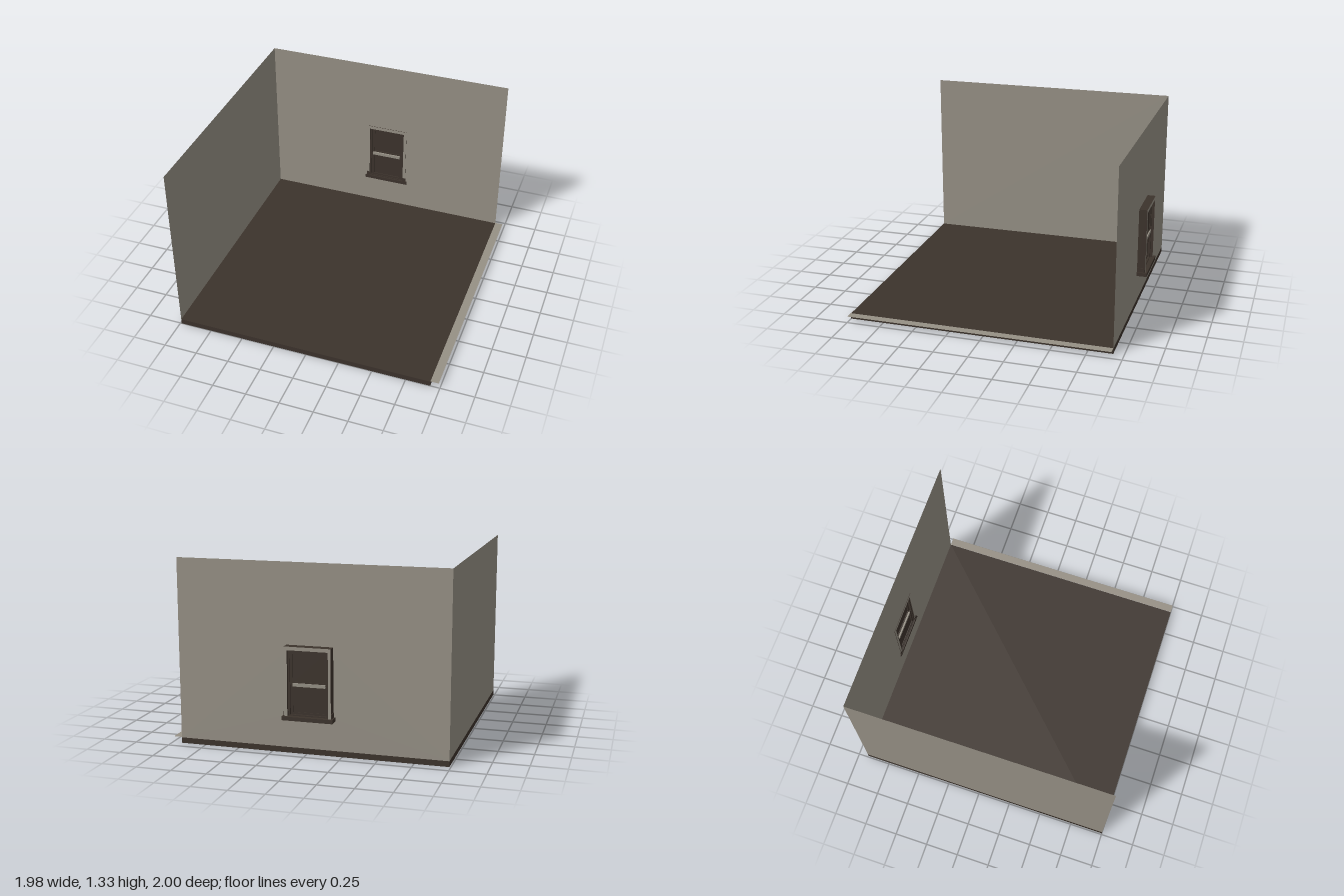
import * as THREE from 'three';

const wallMat = new THREE.MeshStandardMaterial({ color: 0x969085, side: THREE.DoubleSide });
wallMat.name = 'warm beige';
const woodMat = new THREE.MeshStandardMaterial({ color: 0x3c332c, side: THREE.DoubleSide });
woodMat.name = 'dark brown';

// Box given by its minimum and maximum corners
function box(name, mat, [x0, y0, z0], [x1, y1, z1]) {
  const mesh = new THREE.Mesh(new THREE.BoxGeometry(x1 - x0, y1 - y0, z1 - z0), mat);
  mesh.position.set((x0 + x1) / 2, (y0 + y1) / 2, (z0 + z1) / 2);
  mesh.name = name;
  return mesh;
}

function rectPoints(x0, y0, x1, y1) {
  return [[x0, y0], [x1, y0], [x1, y1], [x0, y1]].map(([x, y]) => new THREE.Vector2(x, y));
}

// Rectangle with a rectangular opening
function ringShape(outer, inner) {
  const shape = new THREE.Shape(rectPoints(...outer));
  shape.holes.push(new THREE.Path(rectPoints(...inner).reverse()));
  return shape;
}

function ringFrame(name, mats, outer, inner, z, depth) {
  const geo = new THREE.ExtrudeGeometry(ringShape(outer, inner), { depth, bevelEnabled: false });
  const mesh = new THREE.Mesh(geo, mats);
  mesh.position.z = z;
  mesh.name = name;
  return mesh;
}

export function createModel() {
  const model = new THREE.Group();
  model.name = 'roomCorner';
  const opening = [-0.17, 0.275, 0.118, 0.735];

  // Floor slab with a pale underside, and the thin strip along its open side
  const floorMats = [woodMat, woodMat, woodMat, wallMat, woodMat, woodMat];
  model.add(box('floor', floorMats, [-0.99, 0, -0.925], [0.93, 0.04, 1]));
  const strip = new THREE.Mesh(new THREE.PlaneGeometry(0.06, 1.925), wallMat);
  strip.rotation.x = -Math.PI / 2;
  strip.position.set(0.96, 0.043, 0.0375);
  strip.name = 'edgeStrip';
  model.add(strip);

  // Paper-thin walls
  const backWall = new THREE.Mesh(
    new THREE.ShapeGeometry(ringShape([-0.99, 0.04, 0.93, 1.325], opening)), wallMat);
  backWall.position.z = -0.925;
  backWall.name = 'backWall';
  const sideWall = new THREE.Mesh(new THREE.PlaneGeometry(1.925, 1.285), wallMat);
  sideWall.rotation.y = Math.PI / 2;
  sideWall.position.set(-0.99, 0.6825, 0.0375);
  sideWall.name = 'sideWall';
  model.add(backWall, sideWall);

  // Window: casing with pale faces and dark edges
  const win = new THREE.Group();
  win.name = 'window';
  win.add(ringFrame('casing', [wallMat, woodMat], [-0.19, 0.27, 0.14, 0.76],
    opening, -0.985, 0.064));
  win.add(ringFrame('innerStop', woodMat, opening,
    [-0.155, 0.285, 0.105, 0.72], -0.965, 0.038));

  // Upper and lower sashes with their panes
  for (const [name, y0, y1, z] of [['upper', 0.495, 0.725, -0.96], ['lower', 0.28, 0.495, -0.95]]) {
    win.add(ringFrame(name + 'Sash', woodMat, [-0.16, y0, 0.11, y1],
      [-0.135, y0 + 0.02, 0.085, y1 - 0.02], z, 0.018));
    win.add(box(name + 'Pane', woodMat, [-0.14, y0 + 0.01, z + 0.005], [0.09, y1 - 0.01, z + 0.01]));
  }
  win.add(box('meetingRail', wallMat, [-0.145, 0.483, -0.968], [0.085, 0.506, -0.93]));

  // Sill with a small block at each end
  win.add(box('sill', woodMat, [-0.205, 0.25, -1], [0.155, 0.277, -0.918]));
  for (const x of [-0.195, 0.117]) {
    win.add(box('sillBlock', woodMat, [x, 0.277, -0.983], [x + 0.028, 0.31, -0.92]));
  }
  model.add(win);
  return model;
}
